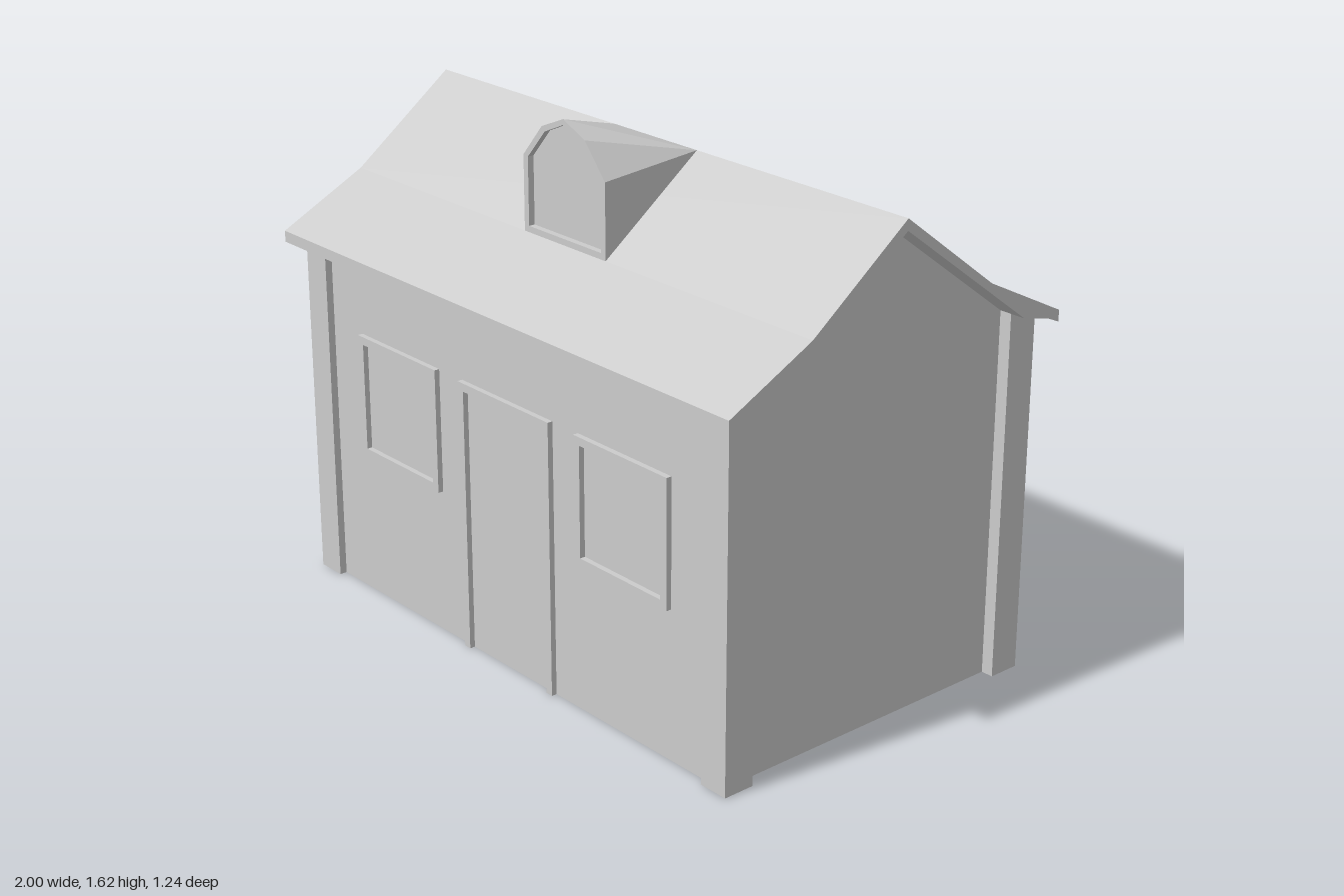
import * as THREE from 'three';

const grey = new THREE.MeshStandardMaterial({ color: 0xcccccc, flatShading: true });
const thin = new THREE.MeshStandardMaterial({ color: 0xcccccc, flatShading: true, side: THREE.DoubleSide });

const toShape = (pts) => new THREE.Shape(pts.map(([x, y]) => new THREE.Vector2(x, y)));

function add(parent, name, geometry, material = grey) {
  const mesh = new THREE.Mesh(geometry, material);
  mesh.name = name;
  parent.add(mesh);
  return mesh;
}

// Extrudes a (z, y) profile along x between x0 and x1.
function alongX(pts, x0, x1) {
  const g = new THREE.ExtrudeGeometry(toShape(pts), { depth: x1 - x0, bevelEnabled: false });
  return g.rotateY(-Math.PI / 2).translate(x1, 0, 0);
}

// Completes a half profile by mirroring it across its first axis.
const mirrored = (half) => [
  ...half,
  ...half.filter(([a]) => a !== 0).reverse().map(([a, b]) => [-a, b]),
];

// Triangles from a list of corner triples.
function triangles(tris) {
  const g = new THREE.BufferGeometry();
  g.setAttribute('position', new THREE.Float32BufferAttribute(tris.flat(2), 3));
  g.computeVertexNormals();
  return g;
}

const WALL_Z = 0.552;
const RIM = 0.025;

// Raised border around a rectangular opening; a door border has no sill.
function border(x0, x1, y0, y1, sill) {
  const outer = [[x0, y0], [x1, y0], [x1, y1], [x0, y1]];
  const inner = [[x0 + RIM, y0 + RIM], [x1 - RIM, y0 + RIM], [x1 - RIM, y1 - RIM], [x0 + RIM, y1 - RIM]];
  let shape;
  if (sill) {
    shape = toShape(outer);
    shape.holes.push(new THREE.Path(toShape(inner).getPoints().reverse()));
  } else {
    shape = toShape([
      [x0, y0], [x0 + RIM, y0], [x0 + RIM, y1 - RIM],
      [x1 - RIM, y1 - RIM], [x1 - RIM, y0], [x1, y0], [x1, y1], [x0, y1],
    ]);
  }
  return new THREE.ExtrudeGeometry(shape, { depth: 0.017, bevelEnabled: false }).translate(0, 0, WALL_Z);
}

function createDormer() {
  const dormer = new THREE.Group();
  dormer.name = 'dormer';
  const zf = 0.335, zPane = 0.315;
  const outline = [[-0.18, 1.258], [0.18, 1.258], [0.18, 1.485], [0.095, 1.585], [0, 1.625], [-0.095, 1.585], [-0.18, 1.485]];
  const opening = [[-0.16, 1.277], [0.16, 1.277], [0.16, 1.482], [0.082, 1.572], [0, 1.608], [-0.082, 1.572], [-0.16, 1.482]];

  // Roof and cheeks fan out from two points on the main ridge
  const right = [0.18, 1.512, 0], left = [-0.18, 1.512, 0];
  const f = outline.map(([x, y]) => [x, y, zf]);
  add(dormer, 'dormerRoof', triangles([
    [right, f[3], f[2]], [right, f[4], f[3]], [right, left, f[4]],
    [left, f[5], f[4]], [left, f[6], f[5]],
  ]), thin);
  add(dormer, 'dormerCheeks', triangles([[right, f[2], f[1]], [left, f[0], f[6]]]), thin);

  // Front frame with a shallow recess and pane
  const face = toShape(outline);
  face.holes.push(new THREE.Path(toShape(opening).getPoints().reverse()));
  add(dormer, 'dormerFrame', new THREE.ShapeGeometry(face).translate(0, 0, zf));
  const reveal = opening.flatMap(([x, y], i) => {
    const [u, v] = opening[(i + 1) % opening.length];
    return [
      [[x, y, zf], [x, y, zPane], [u, v, zPane]],
      [[x, y, zf], [u, v, zPane], [u, v, zf]],
    ];
  });
  add(dormer, 'dormerReveal', triangles(reveal), thin);
  add(dormer, 'dormerPane', new THREE.ShapeGeometry(toShape(opening)).translate(0, 0, zPane));
  return dormer;
}

export function createModel() {
  const house = new THREE.Group();
  house.name = 'house';

  // Walls with gables that meet the underside of the roof
  add(house, 'walls', alongX(
    mirrored([[0, 1.478], [-0.475, 1.124], [-WALL_Z, 1.104], [-WALL_Z, 0]]), -0.913, 0.913));

  // Corner posts
  for (const sx of [-1, 1]) {
    for (const sz of [-1, 1]) {
      const pts = [[0.475, 0], [0.575, 0], [0.575, 1.1], [0.475, 1.124]].map(([z, y]) => [z * sz, y]);
      const [x0, x1] = sx > 0 ? [0.855, 0.952] : [-0.952, -0.855];
      add(house, 'cornerPost', alongX(pts, x0, x1));
    }
  }

  // Roof slab that flares out at the eaves
  const top = [[0.62, 1.115], [0.335, 1.258], [0, 1.512]];
  const under = [[0, 1.478], [0.475, 1.124], [0.575, 1.1], [0.62, 1.08]];
  const flip = (pts) => pts.filter(([z]) => z !== 0).reverse().map(([z, y]) => [-z, y]);
  add(house, 'roof', alongX([...top, ...flip(top), ...flip(under), ...under], -1, 1));

  house.add(createDormer());

  // Door and window borders
  add(house, 'doorFrame', border(-0.207, 0.207, 0, 0.848, false));
  add(house, 'windowFrame', border(0.318, 0.706, 0.46, 0.848, true));
  add(house, 'windowFrame', border(-0.706, -0.318, 0.46, 0.848, true));

  return house;
}
